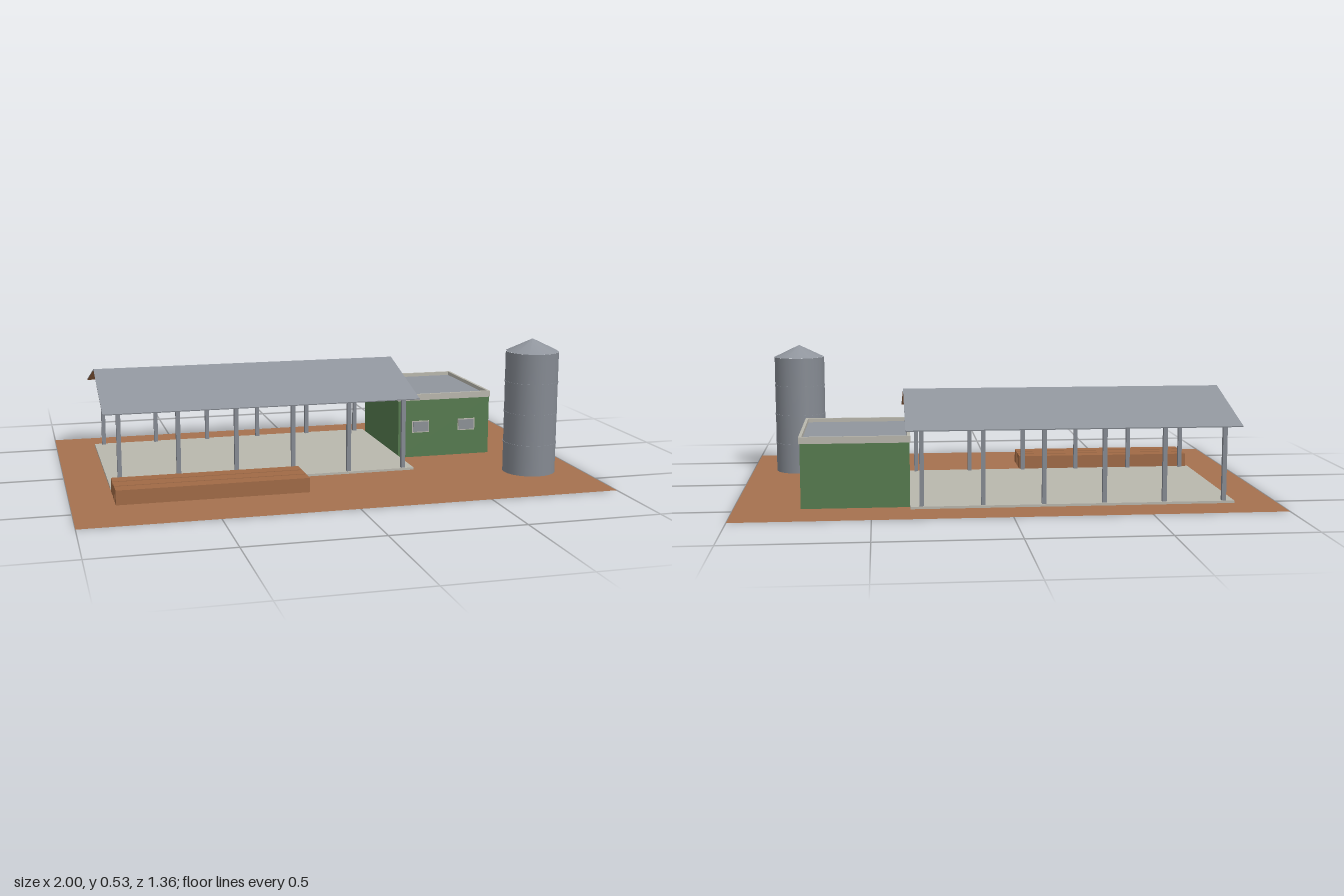
import * as THREE from 'three';

const mat = (name, color, side = THREE.FrontSide) => {
  const m = new THREE.MeshStandardMaterial({ color, side });
  m.name = name;
  return m;
};

export function createModel() {
  const earth = mat('earth', 0xa5714f, THREE.DoubleSide);
  const timber = mat('timber', 0xa06a45);
  const sheet = mat('roof sheet', 0x90959d);
  const steel = mat('steel', 0x858a92);
  const concrete = mat('concrete', 0xb9b7ad);
  const green = mat('green wall', 0x557a4e);
  const glass = mat('window pane', 0x8c9196);

  const model = new THREE.Group();
  model.name = 'farmyard';
  const add = (name, geometry, material, parent = model) => {
    const mesh = new THREE.Mesh(geometry, material);
    mesh.name = name;
    parent.add(mesh);
    return mesh;
  };
  const group = (name) => {
    const g = new THREE.Group();
    g.name = name;
    model.add(g);
    return g;
  };
  // Box given by its lower and upper corners
  const box = (name, [x0, y0, z0], [x1, y1, z1], material, parent) => {
    const g = new THREE.BoxGeometry(x1 - x0, y1 - y0, z1 - z0);
    g.translate((x0 + x1) / 2, (y0 + y1) / 2, (z0 + z1) / 2);
    return add(name, g, material, parent);
  };

  // Yard
  add('ground', new THREE.PlaneGeometry(2, 1.356).rotateX(-Math.PI / 2), earth);

  // Open shed: floor slab, two rows of posts and a thin gable roof
  const shed = group('openShed');
  box('floorSlab', [-0.84, 0.001, -0.52], [0.36, 0.01, 0.2], concrete, shed);
  for (let i = 0; i < 6; i++) {
    const x = -0.802 + i * 0.224;
    for (const z of [-0.505, 0.187])
      box('post', [x - 0.008, 0.01, z - 0.008], [x + 0.008, 0.292, z + 0.008], steel, shed);
  }
  // Roof slopes, in grey above and brown below
  const ridgeZ = -0.162, halfSpan = 0.377, eaveY = 0.291, rise = 0.107;
  const slopeLength = Math.hypot(halfSpan, rise);
  for (const s of [1, -1]) {
    const roof = new THREE.BoxGeometry(1.237, 0.004, slopeLength);
    roof.rotateX(s * Math.atan2(rise, halfSpan));
    roof.translate(-0.2425, eaveY + rise / 2 - 0.001, ridgeZ + s * halfSpan / 2);
    add(s > 0 ? 'frontRoofSlope' : 'backRoofSlope', roof, [sheet, sheet, sheet, timber, sheet, sheet], shed);
  }

  // Green building with a flat roof behind a low parapet
  const building = group('greenBuilding');
  box('walls', [0.36, 0.001, -0.48], [0.756, 0.24, 0], green, building);
  box('flatRoof', [0.365, 0.24, -0.475], [0.751, 0.25, -0.005], sheet, building);
  const rect = (path, x0, y0, x1, y1) =>
    path.moveTo(x0, y0).lineTo(x1, y0).lineTo(x1, y1).lineTo(x0, y1).closePath();
  const rim = new THREE.Shape();
  rect(rim, 0.357, -0.003, 0.76, 0.483);
  const opening = new THREE.Path();
  rect(opening, 0.368, 0.008, 0.749, 0.472);
  rim.holes.push(opening);
  const parapet = new THREE.ExtrudeGeometry(rim, { depth: 0.025, bevelEnabled: false });
  parapet.rotateX(-Math.PI / 2).translate(0, 0.24, 0);
  add('parapet', parapet, concrete, building);
  for (const x of [0.456, 0.656]) {
    box('windowFrame', [x - 0.037, 0.104, 0], [x + 0.037, 0.153, 0.003], concrete, building);
    box('windowPane', [x - 0.033, 0.108, 0.003], [x + 0.033, 0.149, 0.005], glass, building);
  }

  // Silo with a conical cap and thin hoops
  const silo = group('silo');
  silo.position.set(0.8, 0, 0.32);
  const r = 0.103, sides = 24;
  add('siloBody', new THREE.CylinderGeometry(r, r, 0.481, sides, 1, true).translate(0, 0.2415, 0), steel, silo);
  add('siloCap', new THREE.ConeGeometry(r, 0.049, 12).translate(0, 0.5065, 0), sheet, silo);
  for (const y of [0.12, 0.242, 0.363])
    add('hoop', new THREE.CylinderGeometry(r + 0.002, r + 0.002, 0.005, sides).translate(0, y, 0), steel, silo);

  // Row of three long timber troughs
  const troughs = group('timberStack');
  for (const z of [0.267, 0.331, 0.395])
    box('timberBeam', [-0.84, 0.001, z - 0.028], [-0.122, 0.056, z + 0.028], timber, troughs);

  return model;
}
